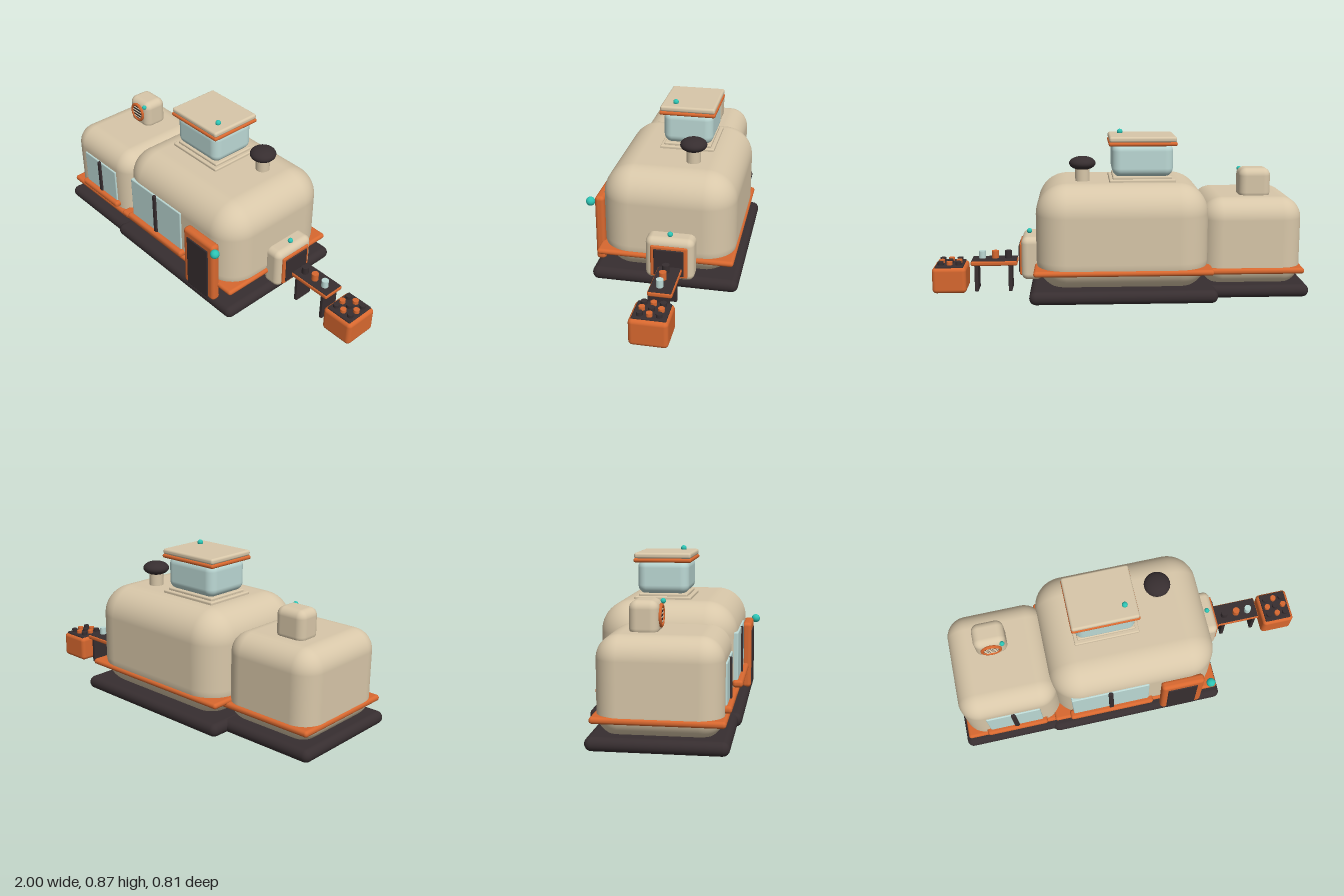
import * as THREE from 'three';
import { RoundedBoxGeometry } from 'three/addons/geometries/RoundedBoxGeometry.js';

const mat = (name, color) => {
  const m = new THREE.MeshStandardMaterial({ color });
  m.name = name;
  return m;
};

export function createModel() {
  const cream = mat('cream shell', 0xd8c7a9);
  const orange = mat('orange trim', 0xd8682f);
  const dark = mat('dark charcoal', 0x372e30);
  const glass = mat('pale glass', 0xbcd9d5);
  const teal = mat('teal lamp', 0x2cc4b4);

  const root = new THREE.Group();
  root.name = 'outpost';
  let target = root;
  const group = (name) => {
    target = new THREE.Group();
    target.name = name;
    root.add(target);
  };
  const add = (name, geo, material, x = 0, y = 0, z = 0) => {
    const m = new THREE.Mesh(geo, material);
    m.name = name;
    m.position.set(x, y, z);
    target.add(m);
    return m;
  };
  // Rounded box given by its extents on each axis
  const box = (name, material, [x0, x1], [y0, y1], [z0, z1], r = 0.01, seg = 4) =>
    add(name, new RoundedBoxGeometry(x1 - x0, y1 - y0, z1 - z0, seg, r), material,
      (x0 + x1) / 2, (y0 + y1) / 2, (z0 + z1) / 2);
  const ball = (name, r, x, y, z) => add(name, new THREE.SphereGeometry(r, 20, 14), teal, x, y, z);
  const can = (name, material, r, y0, y1, x, z) =>
    add(name, new THREE.CylinderGeometry(r, r, y1 - y0, 20), material, x, (y0 + y1) / 2, z);

  // Window with centre mullion and sill
  const windowSet = ([x0, x1], [y0, y1], z, sillY, sillZ) => {
    const c = (x0 + x1) / 2;
    box('windowPane', glass, [x0, x1], [y0, y1], [z - 0.03, z + 0.008], 0.006, 2);
    box('windowMullion', dark, [c - 0.013, c + 0.013], [y0, y1], [z - 0.01, z + 0.018], 0.006, 2);
    box('windowSill', orange, [x0 - 0.022, x1 + 0.022], sillY, [z - 0.02, sillZ], 0.016);
  };

  // Main module
  group('mainModule');
  box('mainBase', dark, [-0.505, 0.468], [0, 0.07], [-0.405, 0.366], 0.034);
  box('mainBody', cream, [-0.467, 0.435], [0.045, 0.605], [-0.372, 0.328], 0.16, 8);
  box('mainBelt', orange, [-0.484, 0.446], [0.143, 0.173], [-0.378, 0.34], 0.015);
  windowSet([-0.375, 0.05], [0.2, 0.455], 0.328, [0.177, 0.214], 0.362);

  // Smaller side module
  group('annexModule');
  box('annexBase', dark, [-1, -0.45], [0, 0.068], [-0.31, 0.348], 0.034);
  box('annexBody', cream, [-0.968, -0.435], [0.05, 0.52], [-0.275, 0.315], 0.11, 8);
  box('annexBelt', orange, [-0.975, -0.44], [0.124, 0.156], [-0.29, 0.33], 0.015);
  windowSet([-0.842, -0.548], [0.19, 0.395], 0.315, [0.164, 0.2], 0.346);

  // Door
  group('door');
  box('doorFrame', orange, [0.115, 0.35], [0.06, 0.428], [0.32, 0.372], 0.02);
  box('doorPanel', dark, [0.147, 0.313], [0.064, 0.385], [0.345, 0.377], 0.008);
  ball('doorLamp', 0.024, 0.378, 0.417, 0.382);

  // Lookout tower on the main roof
  group('lookout');
  box('lowerCollar', cream, [-0.298, 0.05], [0.598, 0.62], [-0.207, 0.085], 0.007);
  box('upperCollar', cream, [-0.28, 0.032], [0.615, 0.634], [-0.188, 0.065], 0.007);
  box('lookoutGlass', glass, [-0.286, 0.035], [0.63, 0.81], [-0.195, 0.071], 0.045, 6);
  box('roofTrim', orange, [-0.305, 0.053], [0.794, 0.815], [-0.211, 0.088], 0.01);
  box('roofCap', cream, [-0.302, 0.05], [0.813, 0.843], [-0.208, 0.085], 0.012);
  ball('roofLamp', 0.015, -0.013, 0.85, 0.01);

  // Chimney
  group('chimney');
  can('chimneyPipe', cream, 0.038, 0.58, 0.69, 0.19, -0.124);
  add('chimneyCap', new THREE.SphereGeometry(0.07, 28, 16), dark, 0.19, 0.699, -0.124).scale.y = 0.52;

  // Roof vent unit
  group('ventUnit');
  box('ventHousing', cream, [-0.815, -0.645], [0.495, 0.664], [-0.138, 0.002], 0.04, 6);
  add('ventDisc', new THREE.CylinderGeometry(0.05, 0.05, 0.012, 28).rotateX(Math.PI / 2), dark, -0.73, 0.588, 0.001);
  add('ventRing', new THREE.TorusGeometry(0.048, 0.009, 10, 32), orange, -0.73, 0.588, 0.005);
  for (let i = -1.5; i < 2; i++) {
    const w = Math.sqrt(0.041 ** 2 - (i * 0.019) ** 2);
    box('ventSlat', cream, [-0.73 - w, -0.73 + w], [0.585 + i * 0.019, 0.591 + i * 0.019], [0.004, 0.011], 0.002, 2);
  }
  ball('ventLamp', 0.013, -0.665, 0.647, 0.003);

  // Serving hatch on the side wall
  group('hatch');
  box('hatchHousing', cream, [0.405, 0.518], [0.077, 0.31], [-0.187, 0.065], 0.035, 6);
  box('hatchFrame', orange, [0.49, 0.528], [0.1, 0.273], [-0.156, 0.035], 0.008);
  box('hatchPanel', dark, [0.5, 0.534], [0.112, 0.257], [-0.138, 0.017], 0.005);
  ball('hatchLamp', 0.014, 0.478, 0.322, -0.06);

  // Table with cups
  group('table');
  box('tableTop', orange, [0.543, 0.793], [0.145, 0.172], [-0.134, -0.01], 0.01);
  box('tableInlay', dark, [0.547, 0.789], [0.166, 0.174], [-0.129, -0.015], 0.003, 2);
  for (const x of [0.583, 0.765])
    box('tableLeg', dark, [x - 0.01, x + 0.01], [0, 0.15], [-0.117, -0.01], 0.004, 2);
  [dark, orange, glass].forEach((m, i) => can('cup', m, 0.019, 0.17, 0.214, 0.595 + i * 0.07, -0.062));

  // Produce crate
  group('crate');
  box('crateBody', orange, [0.816, 0.998], [0, 0.142], [-0.157, 0.036], 0.022);
  box('crateTray', dark, [0.832, 0.982], [0.13, 0.149], [-0.145, 0.022], 0.006);
  for (let i = -1; i <= 1; i++)
    for (let j = -1; j <= 1; j++)
      can('produce', (i + j) % 2 ? orange : dark, 0.016, 0.145, 0.167, 0.907 + i * 0.047, -0.061 + j * 0.047);

  return root;
}
